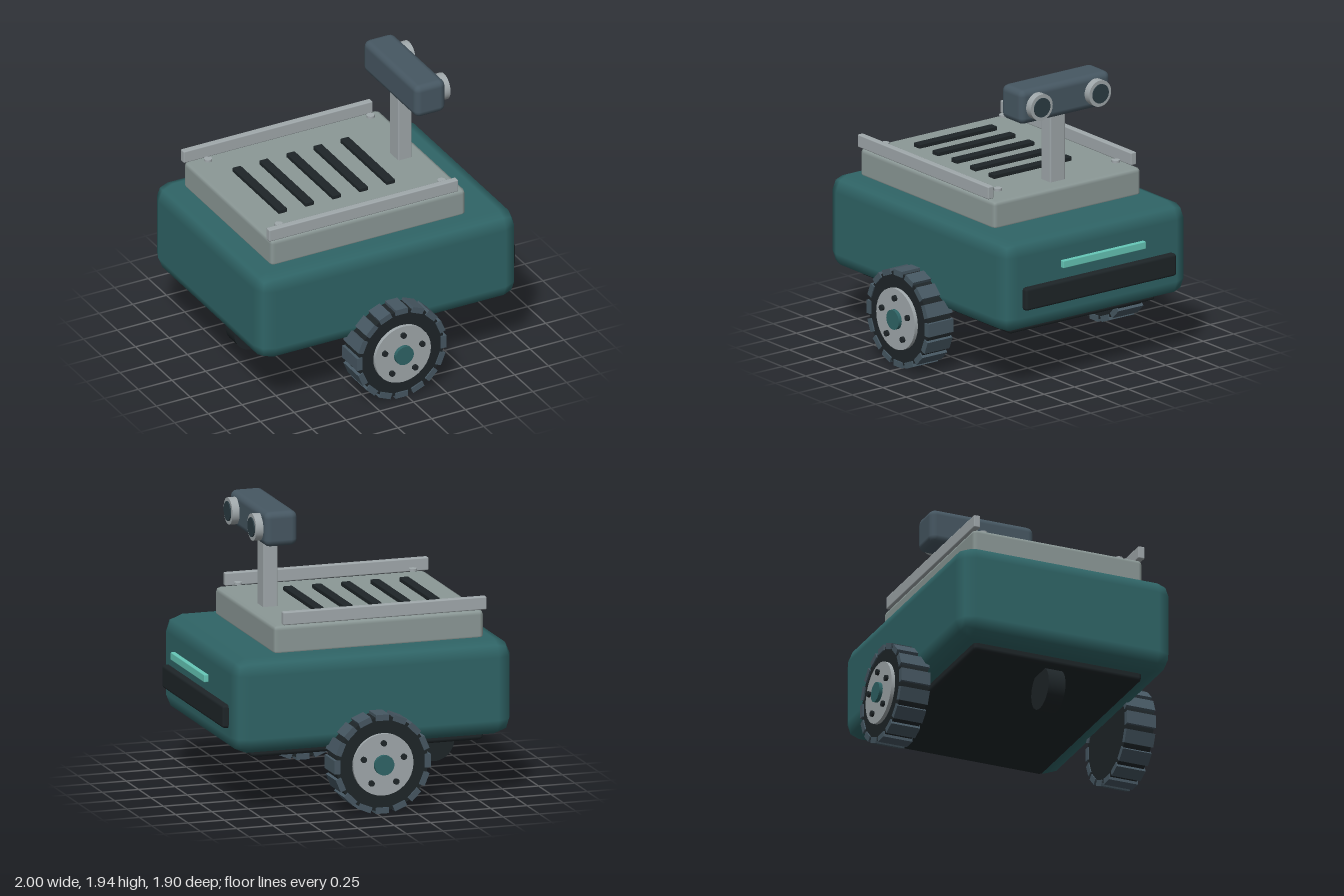
import * as THREE from 'three';
import { RoundedBoxGeometry } from 'three/addons/geometries/RoundedBoxGeometry.js';

const mat = (color) => new THREE.MeshStandardMaterial({ color });
const teal = mat(0x2f6466), black = mat(0x1e2528), slate = mat(0x465762);
const deckGrey = mat(0x8b9896), lightGrey = mat(0xa0a8ab), mint = mat(0x66c8b8), glass = mat(0x2b3c43);

function add(parent, name, geometry, material, x = 0, y = 0, z = 0) {
  const mesh = new THREE.Mesh(geometry, material);
  mesh.name = name;
  mesh.position.set(x, y, z);
  parent.add(mesh);
  return mesh;
}

// Rounded box given by its extents on each axis
function block(parent, name, material, [x0, x1], [y0, y1], [z0, z1], radius, segments = 1) {
  const geometry = new RoundedBoxGeometry(x1 - x0, y1 - y0, z1 - z0, segments, radius);
  return add(parent, name, geometry, material, (x0 + x1) / 2, (y0 + y1) / 2, (z0 + z1) / 2);
}

// Cylinder lying along z, from z0 to z1
function discZ(parent, name, material, r, x, y, z0, z1, sides = 32) {
  const geometry = new THREE.CylinderGeometry(r, r, z1 - z0, sides).rotateX(Math.PI / 2);
  return add(parent, name, geometry, material, x, y, (z0 + z1) / 2);
}

// Wheel with its outer face towards +z, axle through the group's origin
function createWheel(side) {
  const wheel = new THREE.Group();
  wheel.name = side > 0 ? 'leftWheel' : 'rightWheel';
  discZ(wheel, 'tyre', black, 0.315, 0, 0, 0.71, 0.9, 48);
  // Tread blocks around the tyre
  for (let i = 0; i < 16; i++) {
    const a = (i / 16) * Math.PI * 2;
    const tread = add(wheel, 'treadBlock', new THREE.BoxGeometry(0.04, 0.09, 0.206), slate,
      Math.cos(a) * 0.311, Math.sin(a) * 0.311, 0.806);
    tread.rotation.z = a;
  }
  discZ(wheel, 'hub', lightGrey, 0.207, 0, 0, 0.85, 0.925);
  // Five wheel bolts and the centre cap
  for (let i = 0; i < 5; i++) {
    const a = Math.PI / 2 + (i / 5) * Math.PI * 2;
    discZ(wheel, 'wheelBolt', black, 0.02, Math.cos(a) * 0.145, Math.sin(a) * 0.145, 0.9, 0.943, 12);
  }
  discZ(wheel, 'hubCap', teal, 0.067, 0, 0, 0.9, 0.95, 24);
  wheel.position.set(-0.037, 0.337, 0);
  // A half turn puts the second wheel on the other side
  if (side < 0) wheel.rotation.y = Math.PI;
  return wheel;
}

export function createModel() {
  const rover = new THREE.Group();
  rover.name = 'rover';

  // Hull
  block(rover, 'body', teal, [-1, 0.925], [0.42, 1.06], [-0.76, 0.76], 0.11);
  block(rover, 'underPan', black, [-0.84, 0.765], [0.37, 0.47], [-0.6, 0.6], 0.025);
  block(rover, 'bumper', black, [0.88, 0.967], [0.585, 0.74], [-0.62, 0.62], 0.02);
  block(rover, 'lightBar', mint, [0.967, 1], [0.835, 0.887], [-0.34, 0.34], 0.006);

  // Top deck with vents
  block(rover, 'deck', deckGrey, [-0.84, 0.605], [1.04, 1.24], [-0.605, 0.605], 0.03);
  for (let i = 0; i < 5; i++) {
    const x = -0.6 + i * 0.2;
    block(rover, 'ventSlot', black, [x - 0.032, x + 0.032], [1.245, 1.275], [-0.32, 0.32], 0.006);
  }

  // Side rails, deck bolts and wheels
  for (const s of [1, -1]) {
    const rail = block(rover, 'sideRail', lightGrey, [-0.857, 0.545], [1.243, 1.33], [-0.023, 0.023], 0.008);
    rail.position.z = s * 0.587;
    for (const x of [-0.72, 0.485]) {
      add(rover, 'deckBolt', new THREE.CylinderGeometry(0.027, 0.027, 0.016, 16), lightGrey, x, 1.277, s * 0.485);
    }
    rover.add(createWheel(s));
  }

  // Caster wheel under the tail
  discZ(rover, 'caster', black, 0.14, -0.68, 0.257, -0.06, 0.06, 40);

  // Mast and sensor head
  block(rover, 'mast', lightGrey, [0.395, 0.497], [1.22, 1.75], [-0.062, 0.062], 0.01);
  const head = new THREE.Group();
  head.name = 'sensorHead';
  rover.add(head);
  block(head, 'headShell', slate, [0.36, 0.587], [1.71, 1.945], [-0.37, 0.37], 0.045, 2);
  for (const s of [1, -1]) {
    const ring = new THREE.CylinderGeometry(0.09, 0.09, 0.077, 32).rotateZ(-Math.PI / 2);
    add(head, 'eyeRing', ring, lightGrey, 0.5985, 1.827, s * 0.24);
    const lens = new THREE.CylinderGeometry(0.065, 0.065, 0.07, 32).rotateZ(-Math.PI / 2);
    add(head, 'eyeLens', lens, glass, 0.61, 1.827, s * 0.24);
  }
  return rover;
}
